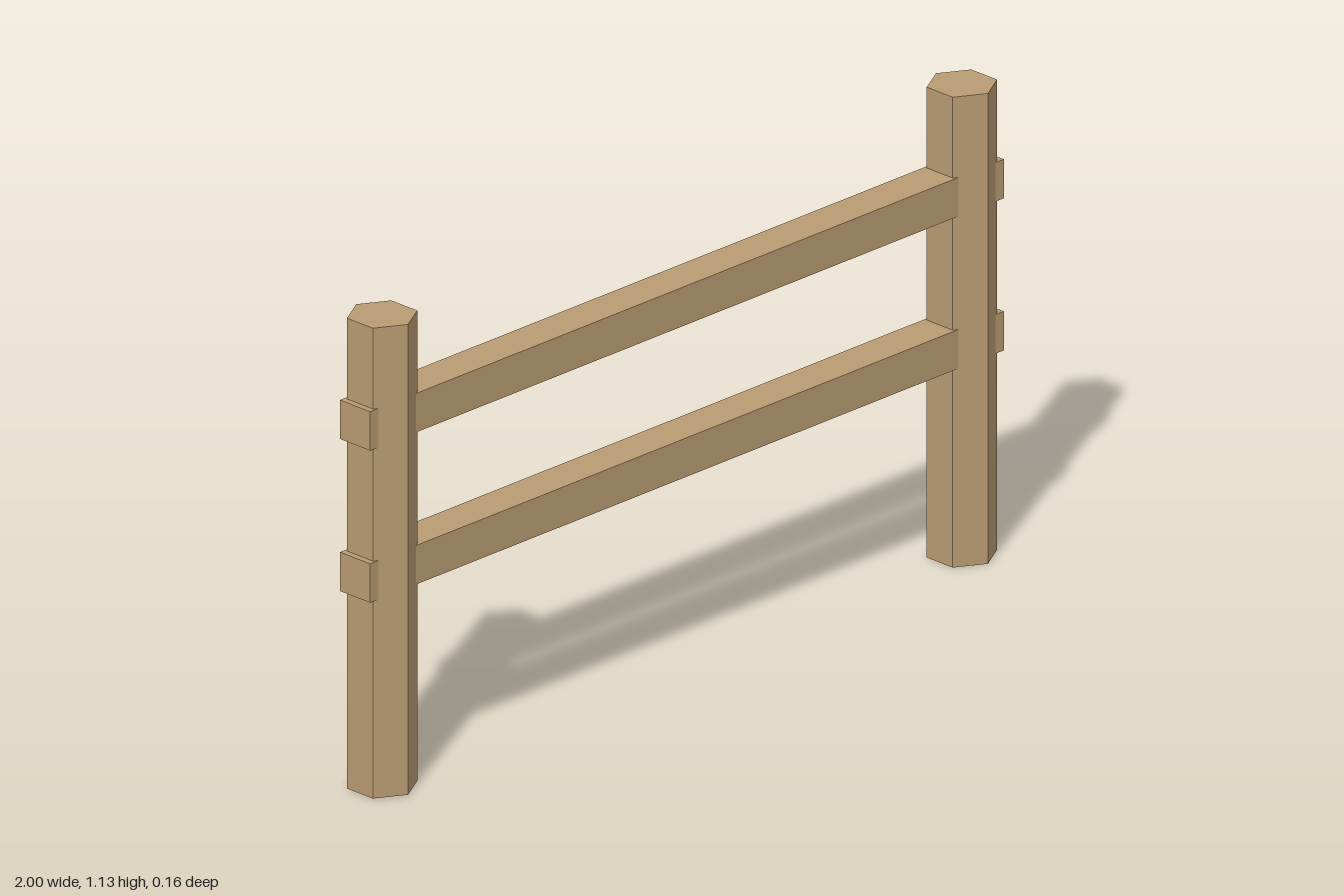
import * as THREE from 'three';

const POST_HEIGHT = 1.135;
const POST_X = 0.915;

export function createModel() {
  const fence = new THREE.Group();
  fence.name = 'fence';
  const wood = new THREE.MeshStandardMaterial({ color: 0xb89b72, flatShading: true });

  function addPart(name, geometry, x, y) {
    const mesh = new THREE.Mesh(geometry, wood);
    mesh.name = name;
    mesh.position.set(x, y, 0);
    fence.add(mesh);
  }

  // Hexagonal posts, with a corner facing front and back
  const postGeometry = new THREE.CylinderGeometry(0.081, 0.081, POST_HEIGHT, 6);
  addPart('leftPost', postGeometry, POST_X, POST_HEIGHT / 2);
  addPart('rightPost', postGeometry, -POST_X, POST_HEIGHT / 2);

  // Square rails that run through both posts and poke out at the ends
  const railGeometry = new THREE.BoxGeometry(2, 0.094, 0.094);
  addPart('upperRail', railGeometry, 0, 0.893);
  addPart('lowerRail', railGeometry, 0, 0.526);

  return fence;
}
